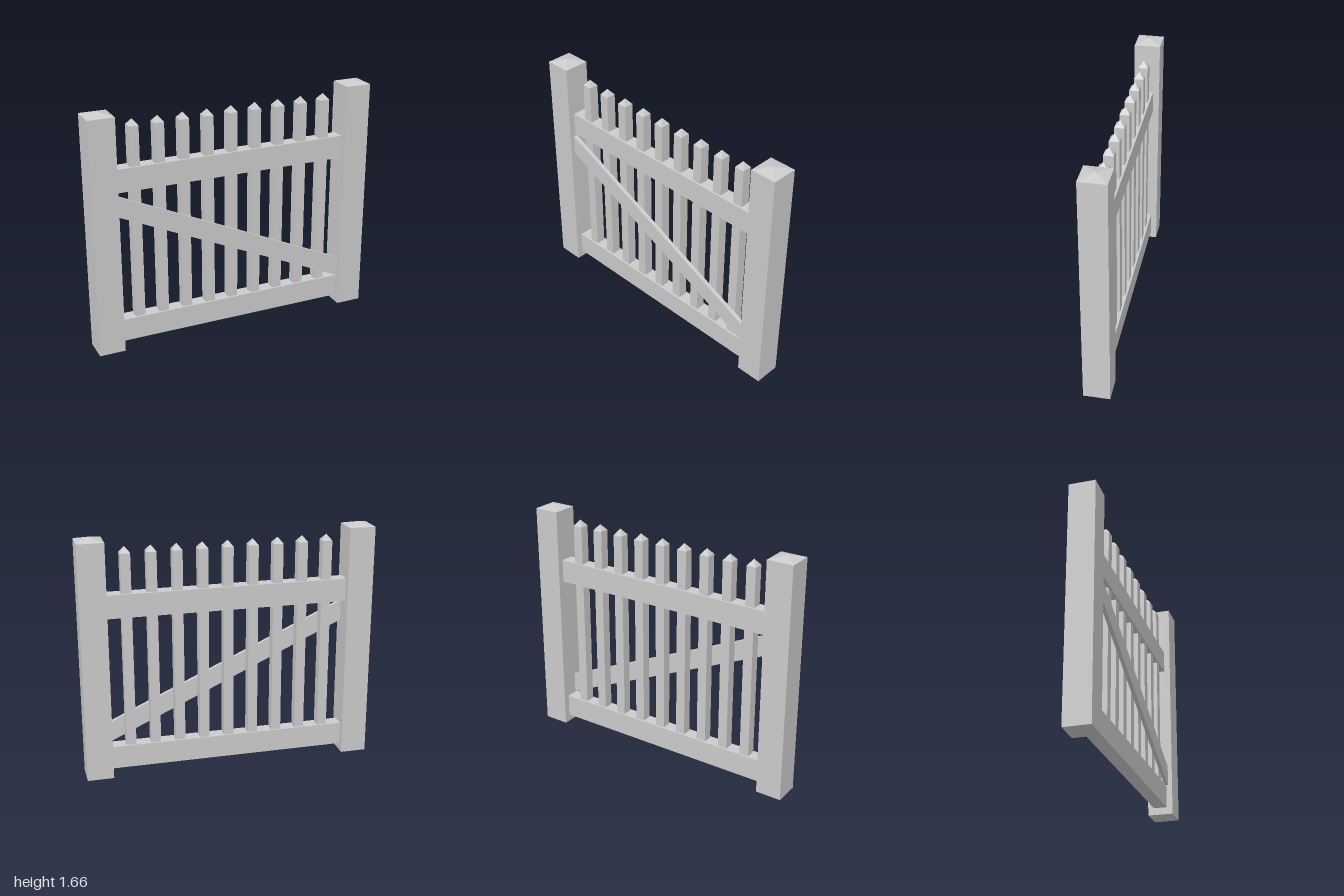
import * as THREE from 'three';

const material = new THREE.MeshStandardMaterial({ color: 0xcccccc, flatShading: true });

function addMesh(parent, name, geometry, x, y, z) {
  const mesh = new THREE.Mesh(geometry, material);
  mesh.name = name;
  mesh.position.set(x, y, z);
  parent.add(mesh);
  return mesh;
}

// Square upright from y0 to y1, topped by a four-sided point
function pointedUpright(name, x, width, y0, y1, tipHeight) {
  const group = new THREE.Group();
  group.name = name;
  addMesh(group, name + 'Shaft', new THREE.BoxGeometry(width, y1 - y0, width), x, (y0 + y1) / 2, 0);
  const tip = new THREE.ConeGeometry(width / Math.SQRT2, tipHeight, 4, 1, true, Math.PI / 4);
  addMesh(group, name + 'Tip', tip, x, y1 + tipHeight / 2, 0);
  return group;
}

export function createModel() {
  const gate = new THREE.Group();
  gate.name = 'picketGate';
  const inner = 0.82; // inner faces of the posts

  // Posts
  gate.add(pointedUpright('leftPost', 0.91, 0.18, 0, 1.64, 0.025));
  gate.add(pointedUpright('rightPost', -0.91, 0.18, 0, 1.64, 0.025));

  // Pickets, footed inside the bottom rail
  for (let i = -4; i <= 4; i++) {
    gate.add(pointedUpright('picket' + (i + 5), i * 0.171, 0.067, 0.1, 1.549, 0.042));
  }

  // Horizontal rails
  for (const [name, y] of [['topRail', 1.202], ['bottomRail', 0.131]]) {
    addMesh(gate, name, new THREE.BoxGeometry(inner * 2, 0.159, 0.094), 0, y, 0);
  }

  // Diagonal brace on the front of the pickets, cut vertically at the posts
  const brace = new THREE.Shape([
    new THREE.Vector2(-inner, 0.963),
    new THREE.Vector2(inner, 0.217),
    new THREE.Vector2(inner, 0.358),
    new THREE.Vector2(-inner, 1.104),
  ]);
  addMesh(gate, 'diagonalBrace',
    new THREE.ExtrudeGeometry(brace, { depth: 0.027, bevelEnabled: false }), 0, 0, 0.033);

  return gate;
}
